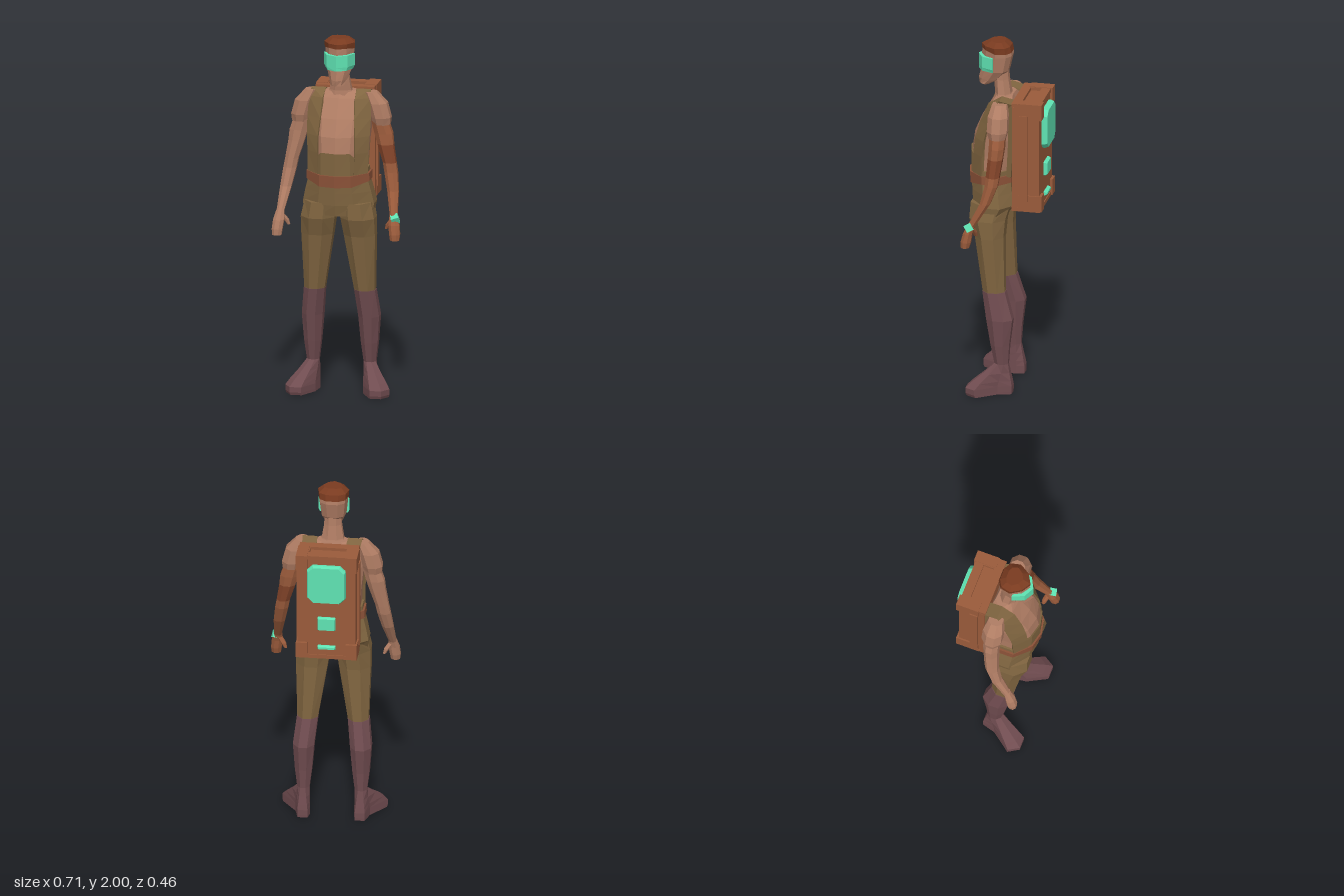
import * as THREE from 'three';

const SKIN = 0xb07d64, CLOTH = 0x806540, BOOT = 0x704c50, PACK = 0x9a5b3b;
const BELT = 0x8c5238, HAIR = 0x7a3b20, GLOW = 0x5fe3b3, SLEEVE = 0x9c5c3c, ELBOW = 0x84452a;

function mesh(name, geometry, color) {
  const m = new THREE.Mesh(geometry, new THREE.MeshStandardMaterial({ color, flatShading: true }));
  m.name = name;
  return m;
}

// Closed solid through a list of rings of [x, y, z], always facing outward
function loft(name, rings, color) {
  const tris = [], n = rings[0].length;
  for (let r = 0; r < rings.length - 1; r++) {
    for (let i = 0; i < n; i++) {
      const j = (i + 1) % n, a = rings[r], b = rings[r + 1];
      tris.push([a[i], a[j], b[j]], [a[i], b[j], b[i]]);
    }
  }
  const cap = (ring, flip) => {
    const c = [0, 1, 2].map(k => ring.reduce((s, p) => s + p[k], 0) / n);
    ring.forEach((p, i) => {
      const q = ring[(i + 1) % n];
      tris.push(flip ? [c, q, p] : [c, p, q]);
    });
  };
  cap(rings[0], true);
  cap(rings[rings.length - 1], false);
  const v = p => new THREE.Vector3(...p);
  const volume = tris.reduce((s, [a, b, c]) => s + v(a).dot(v(b).cross(v(c))), 0);
  if (volume < 0) tris.forEach(t => t.reverse());
  const geometry = new THREE.BufferGeometry();
  geometry.setAttribute('position', new THREE.Float32BufferAttribute(tris.flat(2), 3));
  geometry.computeVertexNormals();
  return mesh(name, geometry, color);
}

// Eight-sided horizontal ring; s mirrors it to the other side
function oval(s, [y, cx, cz, rx, rz], n = 8) {
  const k = 1 / Math.cos(Math.PI / n);
  return Array.from({ length: n }, (_, i) => {
    const a = (i + 0.5) / n * Math.PI * 2;
    return [s * (cx + rx * k * Math.cos(a)), y, cz + rz * k * Math.sin(a)];
  });
}
const limb = (name, s, rows, color) => loft(name, rows.map(r => oval(s, r)), color);

// Symmetric cross-section: half profile of [width share, depth share]
const BODY = [[0, 1], [0.5, 0.92], [1, 0.6], [1, 0.25], [0.6, 0], [0, 0.04]];
const SKULL = [[0, 1], [0.6, 0.82], [1, 0.47], [0.85, 0.14], [0.4, 0], [0, 0]];
function section(profile, [y, w, zf, zb, yBack = y]) {
  const half = profile.map(([u, t]) => [u * w, t > 0.7 ? y : yBack, zb + (zf - zb) * t]);
  return half.concat(half.slice(1, -1).reverse().map(([x, py, z]) => [-x, py, z]));
}
const trunk = (name, profile, rows, color) => loft(name, rows.map(r => section(profile, r)), color);

// Box with its corners cut, lying in the xy plane
function plate(name, x, y, w, h, cut, z0, z1, color) {
  const ring = (z, g) => {
    const a = w / 2 - g, b = h / 2 - g;
    return [[a, b - cut], [a - cut, b], [cut - a, b], [-a, b - cut], [-a, cut - b], [cut - a, -b], [a - cut, -b], [a, cut - b]]
      .map(([px, py]) => [x + px, y + py, z]);
  };
  return loft(name, [ring(z0, 0), ring((z0 + z1) / 2, 0), ring(z1, 0.006)], color);
}

function box(name, w, h, d, x, y, z, color) {
  const m = mesh(name, new THREE.BoxGeometry(w, h, d), color);
  m.position.set(x, y, z);
  return m;
}

function makeHead() {
  const g = new THREE.Group();
  g.name = 'head';
  g.add(limb('neck', 1, [[1.65, 0, 0.035, 0.08, 0.055], [1.7, 0, 0.04, 0.06, 0.043],
    [1.78, 0, 0.05, 0.047, 0.04], [1.85, 0, 0.06, 0.047, 0.045]], SKIN));
  g.add(trunk('face', SKULL, [[1.745, 0.038, 0.175, 0.115], [1.775, 0.05, 0.18, 0.06],
    [1.83, 0.07, 0.165, 0.01], [1.92, 0.08, 0.162, -0.01], [1.96, 0.083, 0.158, -0.005]], SKIN));
  g.add(trunk('hair', SKULL, [[1.95, 0.083, 0.163, -0.01, 1.94], [1.975, 0.086, 0.163, -0.002], [2, 0.055, 0.12, 0.03]], HAIR));
  const visor = [[0.086, 0.085], [0.058, 0.15], [0, 0.18], [-0.058, 0.15], [-0.086, 0.085]];
  g.add(loft('visor', [[1.83, 0.9], [1.85, 1], [1.915, 1]].map(([y, k]) => visor.map(([x, z]) => [x * k, y, z])), GLOW));
  return g;
}

function makeTorso() {
  const g = new THREE.Group();
  g.name = 'torso';
  g.add(trunk('chest', BODY, [[1.25, 0.15, 0.212, -0.015], [1.37, 0.155, 0.213, -0.03], [1.46, 0.165, 0.2, -0.04],
    [1.555, 0.175, 0.16, -0.04], [1.66, 0.17, 0.1, -0.035], [1.695, 0.085, 0.075, -0.02]], SKIN));
  g.add(trunk('trousersTop', BODY, [[1.02, 0.19, 0.198, 0], [1.08, 0.198, 0.21, -0.042], [1.15, 0.183, 0.215, -0.03],
    [1.22, 0.165, 0.22, -0.02], [1.375, 0.162, 0.222, -0.022, 1.28]], CLOTH));
  g.add(trunk('belt', BODY, [[1.185, 0.176, 0.227, -0.028, 1.21], [1.25, 0.174, 0.23, -0.027, 1.255]], BELT));
  // Broad straps: [y, inner x, inner z, outer x, outer z] from waist over the shoulder and down the back
  const rows = [[1.22, 0.1, 0.19, 0.168, 0.13], [1.37, 0.105, 0.187, 0.17, 0.125], [1.46, 0.103, 0.178, 0.175, 0.115],
    [1.555, 0.095, 0.15, 0.177, 0.09], [1.66, 0.09, 0.105, 0.173, 0.06], [1.703, 0.085, 0.03, 0.165, 0.03],
    [1.685, 0.08, -0.04, 0.16, -0.043], [1.45, 0.08, -0.05, 0.15, -0.046], [1.25, 0.08, -0.032, 0.14, -0.03]];
  for (const s of [1, -1]) {
    g.add(loft('strap', rows.map(([y, xi, zi, xo, zo]) => {
      const inward = ([x, py, z]) => [x * 0.92, py + (Math.min(py, 1.5) - py) * 0.15, z + (0.08 - z) * 0.25];
      const a = [s * xi, y, zi], b = [s * xo, y, zo];
      return [a, b, inward(b), inward(a)];
    }), CLOTH));
  }
  return g;
}

function makeLeg(s) {
  const g = new THREE.Group();
  g.name = s > 0 ? 'leftLeg' : 'rightLeg';
  g.add(limb('trouserLeg', s, [[1.09, 0.1, 0.085, 0.085, 0.11], [1.0, 0.11, 0.1, 0.094, 0.1], [0.9, 0.118, 0.088, 0.087, 0.08],
    [0.57, 0.14, 0.06, 0.055, 0.06]], CLOTH));
  const ankle = [0.17, 0.158, 0.016, 0.034, 0.038];
  g.add(limb('bootShaft', s, [[0.585, 0.14, 0.061, 0.058, 0.063], [0.43, 0.157, 0.026, 0.058, 0.073],
    [0.28, 0.158, 0.023, 0.047, 0.052], ankle], BOOT));
  // Foot blends from a turned-out sole to the ankle
  const sole = [[0.29, 0.14], [0.255, 0.198], [0.19, 0.198], [0.133, 0.09], [0.122, 0], [0.13, -0.045], [0.185, -0.045], [0.205, 0.03]];
  const top = oval(1, ankle);
  g.add(loft('foot', [[0, 0.04], [0.015, 0], [0.045, 0], [0.075, 0.22], [0.12, 0.62], [0.17, 1]].map(([y, t]) =>
    sole.map(([x, z], i) => [s * (x + (top[i][0] - x) * t), y, z + (top[i][2] - z) * t])), BOOT));
  return g;
}

function makeArm(s) {
  const g = new THREE.Group(), sleeve = s > 0;
  g.name = sleeve ? 'leftArm' : 'rightArm';
  const bicep = [1.4, 0.248, 0.03, 0.044, 0.04], elbow = [1.3, 0.272, 0.04, 0.036, 0.037];
  g.add(limb('shoulder', s, [[1.69, 0.165, 0.025, 0.035, 0.04], [1.63, 0.2, 0.025, 0.055, 0.055],
    [1.55, 0.222, 0.025, 0.054, 0.056], [1.51, 0.225, 0.025, 0.047, 0.045]], SKIN));
  g.add(limb('upperArm', s, [[1.55, 0.21, 0.025, 0.045, 0.043], [1.46, 0.236, 0.025, 0.05, 0.042], bicep], sleeve ? SLEEVE : SKIN));
  g.add(limb('elbow', s, [bicep, elbow], sleeve ? ELBOW : SKIN));
  g.add(limb('forearm', s, [elbow, [1.25, 0.281, 0.046, 0.036, 0.035], [1.15, 0.298, 0.077, 0.031, 0.028],
    [1.02, 0.316, 0.15, 0.02, 0.02]], sleeve ? SLEEVE : SKIN));
  g.add(limb('hand', s, [[1.04, 0.314, 0.145, 0.02, 0.018], [0.98, 0.321, 0.168, 0.03, 0.025],
    [0.93, 0.327, 0.178, 0.029, 0.028], [0.897, 0.328, 0.183, 0.025, 0.023]], sleeve ? SLEEVE : SKIN));
  g.add(limb('thumb', s, [[1.005, 0.305, 0.15, 0.014, 0.014], [0.975, 0.284, 0.14, 0.014, 0.014],
    [0.948, 0.272, 0.136, 0.008, 0.01]], sleeve ? SLEEVE : SKIN));
  if (sleeve) {
    const wrist = box('wristDevice', 0.042, 0.042, 0.04, 0.326, 1.012, 0.163, GLOW);
    wrist.rotation.set(0.5, 0.3, 0.2);
    g.add(wrist);
  }
  return g;
}

function makePack() {
  const g = new THREE.Group();
  g.name = 'backpack';
  g.position.x = 0.006;
  g.add(box('packBody', 0.32, 0.595, 0.15, 0, 1.3825, -0.12, PACK));
  // Slotted frames on top and bottom
  const frame = new THREE.Shape([[-0.164, -0.08], [0.164, -0.08], [0.164, 0.08], [-0.164, 0.08]].map(p => new THREE.Vector2(...p)));
  frame.holes.push(new THREE.Path([[-0.1, -0.03], [-0.1, 0.03], [0.1, 0.03], [0.1, -0.03]].map(p => new THREE.Vector2(...p))));
  for (const y of [1.07, 1.675]) {
    const rim = mesh('packRim', new THREE.ExtrudeGeometry(frame, { depth: 0.022, bevelEnabled: false }).rotateX(-Math.PI / 2), PACK);
    rim.position.set(0, y, -0.12);
    g.add(rim);
  }
  for (const s of [1, -1]) {
    for (const y of [1.12, 1.655]) g.add(box('cornerGuard', 0.062, 0.09, 0.13, s * 0.137, y, -0.145, PACK));
    g.add(box('sideBand', 0.02, 0.5, 0.045, s * 0.164, 1.38, -0.108, PACK));
    g.add(box('sideRail', 0.014, 0.59, 0.03, s * 0.158, 1.38, -0.06, PACK));
  }
  g.add(plate('mainPanel', 0, 1.532, 0.212, 0.225, 0.03, -0.19, -0.228, GLOW));
  g.add(plate('middlePanel', 0, 1.285, 0.1, 0.08, 0.004, -0.19, -0.215, GLOW));
  g.add(plate('lowerLight', 0, 1.14, 0.1, 0.024, 0.003, -0.19, -0.215, GLOW));
  return g;
}

export function createModel() {
  const model = new THREE.Group();
  model.name = 'explorer';
  model.add(makeHead(), makeTorso(), makePack());
  for (const s of [1, -1]) model.add(makeLeg(s), makeArm(s));
  return model;
}
